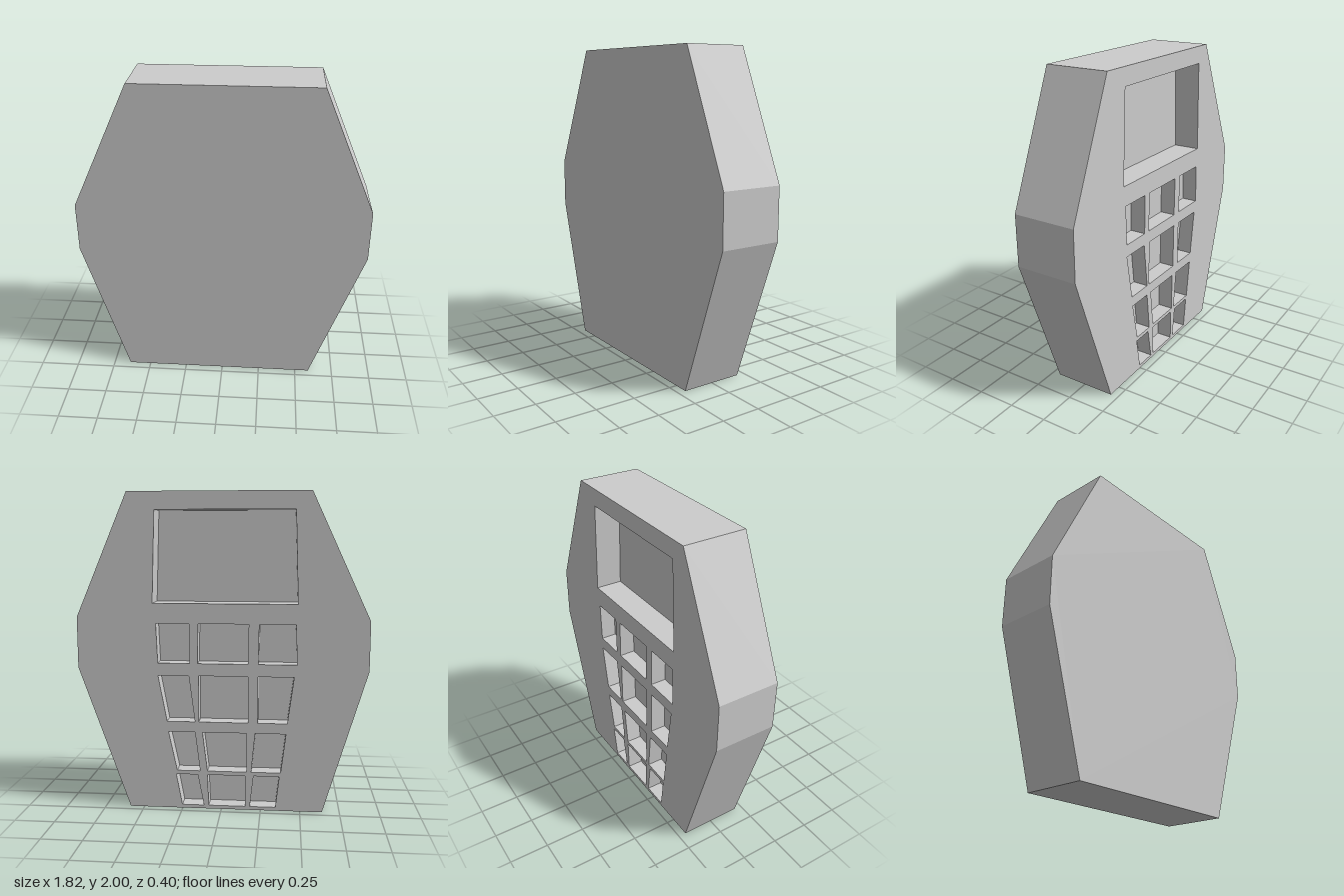
import * as THREE from 'three';
import { mergeGeometries } from 'three/addons/utils/BufferGeometryUtils.js';

const FRONT = 0.2, BACK = -0.2;
const SCREEN_DEPTH = 0.17, KEY_DEPTH = 0.1;

const toVectors = (pairs) => pairs.map(([x, y]) => new THREE.Vector2(x, y));

// Flat panel at height z, facing +z or (flipped) -z
function panel(points, z, flipped, holes = []) {
  const shape = new THREE.Shape(points);
  shape.holes = holes.map((h) => new THREE.Path(h));
  const geometry = new THREE.ShapeGeometry(shape);
  geometry.translate(0, 0, z);
  if (flipped) {
    geometry.setIndex(Array.from(geometry.index.array).reverse());
    geometry.attributes.normal.array.fill(0);
    geometry.computeVertexNormals();
  }
  const flat = geometry.toNonIndexed();
  flat.deleteAttribute('uv');
  return flat;
}

// Walls along a closed outline; counter-clockwise outlines face outward
function walls(points, z0, z1) {
  const position = [];
  points.forEach((a, i) => {
    const b = points[(i + 1) % points.length];
    position.push(a.x, a.y, z0, b.x, b.y, z0, b.x, b.y, z1);
    position.push(a.x, a.y, z0, b.x, b.y, z1, a.x, a.y, z1);
  });
  const geometry = new THREE.BufferGeometry();
  geometry.setAttribute('position', new THREE.Float32BufferAttribute(position, 3));
  geometry.computeVertexNormals();
  return geometry;
}

// Four-cornered opening, counter-clockwise: top edge and bottom edge
const opening = (yTop, yBottom, [topMin, topMax, bottomMin, bottomMax]) =>
  toVectors([[bottomMin, yBottom], [bottomMax, yBottom], [topMax, yTop], [topMin, yTop]]);

export function createModel() {
  const group = new THREE.Group();
  const material = new THREE.MeshStandardMaterial({ color: 0xcccccc, flatShading: true });

  const add = (name, geometries) => {
    const mesh = new THREE.Mesh(mergeGeometries(geometries), material);
    mesh.name = name;
    group.add(mesh);
  };
  const addRecess = (name, points, depth) => add(name, [
    walls([...points].reverse(), BACK, BACK + depth),
    panel(points, BACK + depth, true),
  ]);

  // Eight-sided outline of the slab
  const outline = toVectors([
    [-0.64, 0], [0.59, 0], [0.91, 0.91], [0.91, 1.23],
    [0.58, 2], [-0.545, 2], [-0.91, 1.22], [-0.91, 0.91],
  ]);

  const screen = opening(1.89, 1.32, [-0.45, 0.41, -0.47, 0.43]);

  // Key rows: top y, bottom y, then x limits at top and bottom of each key
  const rows = [
    [1.195, 0.945, [[0.2, 0.41, 0.2, 0.4], [-0.17, 0.145, -0.167, 0.15], [-0.46, -0.235, -0.47, -0.23]]],
    [0.867, 0.571, [[0.205, 0.4, 0.167, 0.345], [-0.167, 0.143, -0.167, 0.143], [-0.453, -0.229, -0.414, -0.229]]],
    [0.504, 0.25, [[0.167, 0.337, 0.136, 0.283], [-0.159, 0.12, -0.159, 0.089], [-0.407, -0.213, -0.376, -0.19]]],
    [0.225, 0.022, [[0.151, 0.29, 0.112, 0.252], [-0.151, 0.089, -0.151, 0.081], [-0.368, -0.205, -0.345, -0.182]]],
  ];
  const keys = rows.flatMap(([top, bottom, limits]) => limits.map((l) => opening(top, bottom, l)));

  // Slab: plain front, sides, and back pierced by the recesses
  add('body', [
    panel(outline, FRONT, false),
    walls(outline, BACK, FRONT),
    panel(outline, BACK, true, [screen, ...keys]),
  ]);

  addRecess('screenRecess', screen, SCREEN_DEPTH);
  keys.forEach((key, i) => addRecess(`keyRecess${i + 1}`, key, KEY_DEPTH));

  return group;
}
